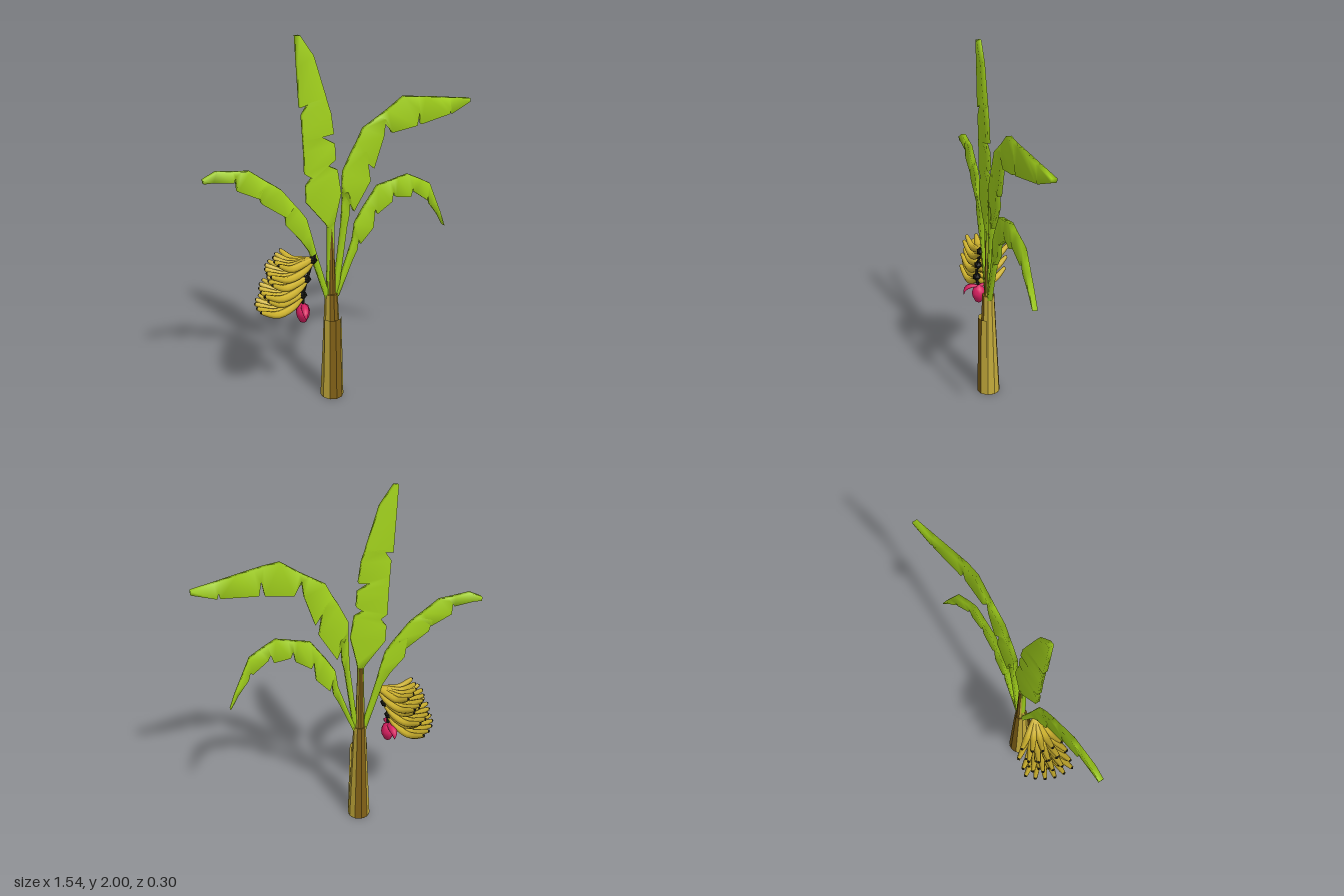
import * as THREE from 'three';

const mat = (name, color, extra = {}) => {
  const m = new THREE.MeshStandardMaterial({ color, ...extra });
  m.name = name;
  return m;
};
const V = (x, y, z) => new THREE.Vector3(x, y, z);

export function createModel() {
  const root = new THREE.Group();
  root.name = 'bananaPlant';

  const leafGreen = mat('leaf green', 0xa3d31c, { side: THREE.DoubleSide });
  const yellow = mat('banana yellow', 0xd0b42e, { side: THREE.DoubleSide });
  const black = mat('stem black', 0x14140e);
  const pink = mat('flower pink', 0xdb1f62, { side: THREE.DoubleSide });
  const tan = mat('trunk tan', 0xc2a93a, { flatShading: true, side: THREE.DoubleSide });
  const brown = mat('trunk brown', 0x806016, { flatShading: true, side: THREE.DoubleSide });

  const add = (parent, name, geo, material) => {
    const m = new THREE.Mesh(geo, material);
    m.name = name;
    parent.add(m);
    return m;
  };

  // Trunk: nested tapering sheaths, brown at front and back, tan at the sides
  const cx = -0.1, cz = 0.045, step = Math.PI / 5;
  const sheath = (name, rBottom, rTop, y0, y1, z, arcs) => {
    const g = new THREE.Group();
    g.name = name;
    for (const [start, faces, material] of arcs) {
      const geo = new THREE.CylinderGeometry(rTop, rBottom, y1 - y0, faces, 1, true, start * step, faces * step);
      add(g, name + 'Side', geo.translate(cx, (y0 + y1) / 2, z), material);
    }
    root.add(g);
    return g;
  };
  const around = [[-1, 2, brown], [1, 3, tan], [4, 2, brown], [6, 3, tan]];
  const cap = (parent, r, y, z, up, material) => add(parent, 'trunkCap',
    new THREE.CircleGeometry(r, 10).rotateX(up ? -Math.PI / 2 : Math.PI / 2).translate(cx, y, z), material);

  const trunk = sheath('trunk', 0.064, 0.035, 0, 0.62, cz, around);
  cap(trunk, 0.064, 0, cz, false, brown);
  cap(trunk, 0.035, 0.62, cz, true, brown);
  const core = sheath('trunkCore', 0.03, 0.016, 0.5, 1.0, 0.042, around);
  cap(core, 0.016, 1.0, 0.042, true, tan);
  sheath('frontSheath', 0.063, 0.053, 0, 0.48, cz + 0.006, [[-2, 1, tan], [-1, 2, brown], [1, 1, tan]]);

  // Leaves: soft-shaded slabs; rows from stalk to tip, each [left x, left y, right x, right y]
  const bend = x => (x > 0.38 ? 0.043 - (x - 0.38) * 0.19 : x < -0.3 ? 0.038 : 0.045);
  const leaf = (name, rows) => {
    const pos = [], idx = [], half = 0.013;
    rows.forEach(([ax, ay, bx, by], i) => {
      const az = bend(ax), bz = bend(bx);
      pos.push(ax, ay, az + half, bx, by, bz + half, bx, by, bz - half, ax, ay, az - half);
      if (i === 0) return;
      for (let k = 0; k < 4; k++) {
        const q = i * 4 + k, q1 = i * 4 + (k + 1) % 4;
        idx.push(q - 4, q1 - 4, q1, q - 4, q1, q);
      }
    });
    const e = rows.length * 4 - 4;
    idx.push(0, 3, 2, 0, 2, 1, e, e + 1, e + 2, e, e + 2, e + 3);
    const geo = new THREE.BufferGeometry();
    geo.setAttribute('position', new THREE.Float32BufferAttribute(pos, 3));
    geo.setIndex(idx);
    geo.computeVertexNormals();
    add(root, name, geo, leafGreen);
  };

  leaf('uprightLeaf', [
    [-0.125, 0.6, -0.085, 0.6], [-0.118, 1.0, -0.085, 1.0], [-0.13, 1.02, -0.08, 1.03],
    [-0.235, 1.15, -0.045, 1.18], [-0.238, 1.24, -0.065, 1.31], [-0.205, 1.28, -0.115, 1.335],
    [-0.242, 1.305, -0.075, 1.365], [-0.245, 1.42, -0.08, 1.45], [-0.248, 1.48, -0.15, 1.49],
    [-0.25, 1.52, -0.085, 1.5], [-0.255, 1.61, -0.1, 1.61], [-0.215, 1.67, -0.12, 1.67],
    [-0.265, 1.65, -0.125, 1.69], [-0.275, 1.85, -0.19, 1.9], [-0.282, 2.0, -0.26, 2.0]]);
  leaf('upperLeftLeaf', [
    [-0.09, 0.6, -0.065, 0.6], [-0.04, 1.0, -0.01, 1.0], [-0.033, 1.12, 0, 1.04],
    [-0.032, 1.18, 0.012, 1.18], [-0.032, 1.23, 0.03, 1.07], [-0.03, 1.29, 0.125, 1.225],
    [0.02, 1.39, 0.1, 1.385], [0.05, 1.44, 0.145, 1.29], [0.085, 1.51, 0.2, 1.455],
    [0.17, 1.56, 0.21, 1.545], [0.22, 1.59, 0.25, 1.47], [0.315, 1.655, 0.4, 1.49],
    [0.4, 1.645, 0.415, 1.57], [0.45, 1.638, 0.43, 1.495], [0.54, 1.625, 0.625, 1.522],
    [0.62, 1.612, 0.632, 1.55], [0.65, 1.608, 0.64, 1.522], [0.768, 1.59, 0.768, 1.57]]);
  leaf('lowerLeftLeaf', [
    [-0.08, 0.6, -0.06, 0.6], [0, 0.83, 0.02, 0.79], [0.025, 0.9, 0.05, 0.85],
    [0.033, 0.95, 0.06, 0.93], [0.04, 1.0, 0.07, 0.88], [0.09, 1.08, 0.145, 0.96],
    [0.12, 1.12, 0.155, 1.07], [0.17, 1.19, 0.17, 1.035], [0.24, 1.205, 0.255, 1.09],
    [0.265, 1.21, 0.265, 1.15], [0.29, 1.217, 0.28, 1.115], [0.355, 1.23, 0.37, 1.1],
    [0.4, 1.208, 0.385, 1.15], [0.44, 1.188, 0.4, 1.12], [0.5, 1.155, 0.485, 1.06],
    [0.53, 1.09, 0.495, 1.085], [0.55, 1.045, 0.51, 1.03], [0.585, 0.97, 0.57, 0.955],
    [0.62, 0.88, 0.612, 0.885]]);
  leaf('rightLeaf', [
    [-0.135, 0.6, -0.11, 0.6], [-0.225, 0.88, -0.19, 0.88], [-0.27, 0.95, -0.215, 0.98],
    [-0.345, 1.04, -0.24, 1.07], [-0.355, 1.15, -0.275, 1.12], [-0.35, 1.09, -0.3, 1.15],
    [-0.475, 1.18, -0.37, 1.24], [-0.493, 1.245, -0.41, 1.27], [-0.49, 1.21, -0.44, 1.29],
    [-0.6, 1.265, -0.53, 1.357], [-0.606, 1.34, -0.575, 1.362], [-0.615, 1.31, -0.62, 1.367],
    [-0.72, 1.325, -0.7, 1.378], [-0.768, 1.325, -0.77, 1.345]]);

  // Tube whose radius follows a profile, optionally widened along x
  const taperedTube = (points, radius, profile, widen = 1) => {
    const curve = new THREE.CatmullRomCurve3(points), segs = 10, sides = 6;
    const geo = new THREE.TubeGeometry(curve, segs, radius, sides);
    const p = geo.attributes.position, v = V(0, 0, 0);
    for (let i = 0; i < p.count; i++) {
      const t = Math.floor(i / (sides + 1)) / segs, c = curve.getPointAt(t);
      v.fromBufferAttribute(p, i).sub(c).multiplyScalar(profile(t));
      p.setXYZ(i, c.x + v.x * widen, c.y + v.y, c.z + v.z);
    }
    return geo;
  };

  // Fruit stem
  const bunch = new THREE.Group();
  bunch.name = 'bananaBunch';
  root.add(bunch);
  add(bunch, 'bunchStem', taperedTube([V(-0.19, 0.87, 0.05), V(-0.215, 0.83, 0.06), V(-0.25, 0.735, 0.068),
    V(-0.275, 0.65, 0.07), V(-0.27, 0.59, 0.06)], 0.008, () => 1), black);

  // Three hands, each with an upper and a lower fan of curved bananas
  const bananaProfile = t => 0.35 + 0.65 * Math.pow(Math.sin(Math.PI * Math.min(1, 0.04 + t * 0.93)), 0.6);
  const fans = [
    { count: 5, path: [[0, 0.012], [0.06, -0.005], [0.13, -0.015], [0.205, 0.022]] },
    { count: 6, path: [[0, -0.005], [0.06, -0.05], [0.15, -0.07], [0.25, -0.03]] }];
  [[-0.212, 0.832, 0.06], [-0.25, 0.733, 0.066], [-0.275, 0.648, 0.068]].forEach(([hx, hy, hz], h) => {
    const hand = new THREE.Group();
    hand.name = 'bananaHand' + (h + 1);
    bunch.add(hand);
    add(hand, 'handJoint', new THREE.IcosahedronGeometry(0.025, 0).translate(hx, hy + 0.005, hz), black);
    for (const { count, path } of fans) {
      for (let i = 0; i < count; i++) {
        const a = THREE.MathUtils.degToRad(9 - 64 * i / (count - 1));
        const pts = path.map(([d, y]) => V(hx - d * Math.cos(a), hy + y, hz + d * Math.sin(a)));
        add(hand, 'banana', taperedTube(pts, 0.0205, bananaProfile), yellow);
        const tip = pts[3];
        add(hand, 'bananaTip', new THREE.SphereGeometry(0.0068, 6, 4).translate(tip.x, tip.y, tip.z), black);
      }
    }
  });

  // Hanging flower: a pointed bud with two curling petals
  const flower = new THREE.Group();
  flower.name = 'flower';
  root.add(flower);
  const bud = [[0, 0.488], [0.018, 0.495], [0.035, 0.53], [0.04, 0.555], [0.03, 0.585], [0.008, 0.602], [0, 0.604]];
  add(flower, 'bud', new THREE.LatheGeometry(bud.map(([r, y]) => new THREE.Vector2(r, y)), 8)
    .translate(-0.272, 0, 0.06), pink);
  for (const s of [1, -1]) {
    add(flower, 'petal', taperedTube([V(-0.272, 0.595, 0.06), V(-0.28, 0.595, 0.06 + s * 0.045),
      V(-0.287, 0.575, 0.06 + s * 0.075), V(-0.287, 0.54, 0.06 + s * 0.084)], 0.009,
    t => Math.sin(Math.PI * (0.1 + 0.9 * t)) + 0.05, 2.4), pink);
  }
  return root;
}
